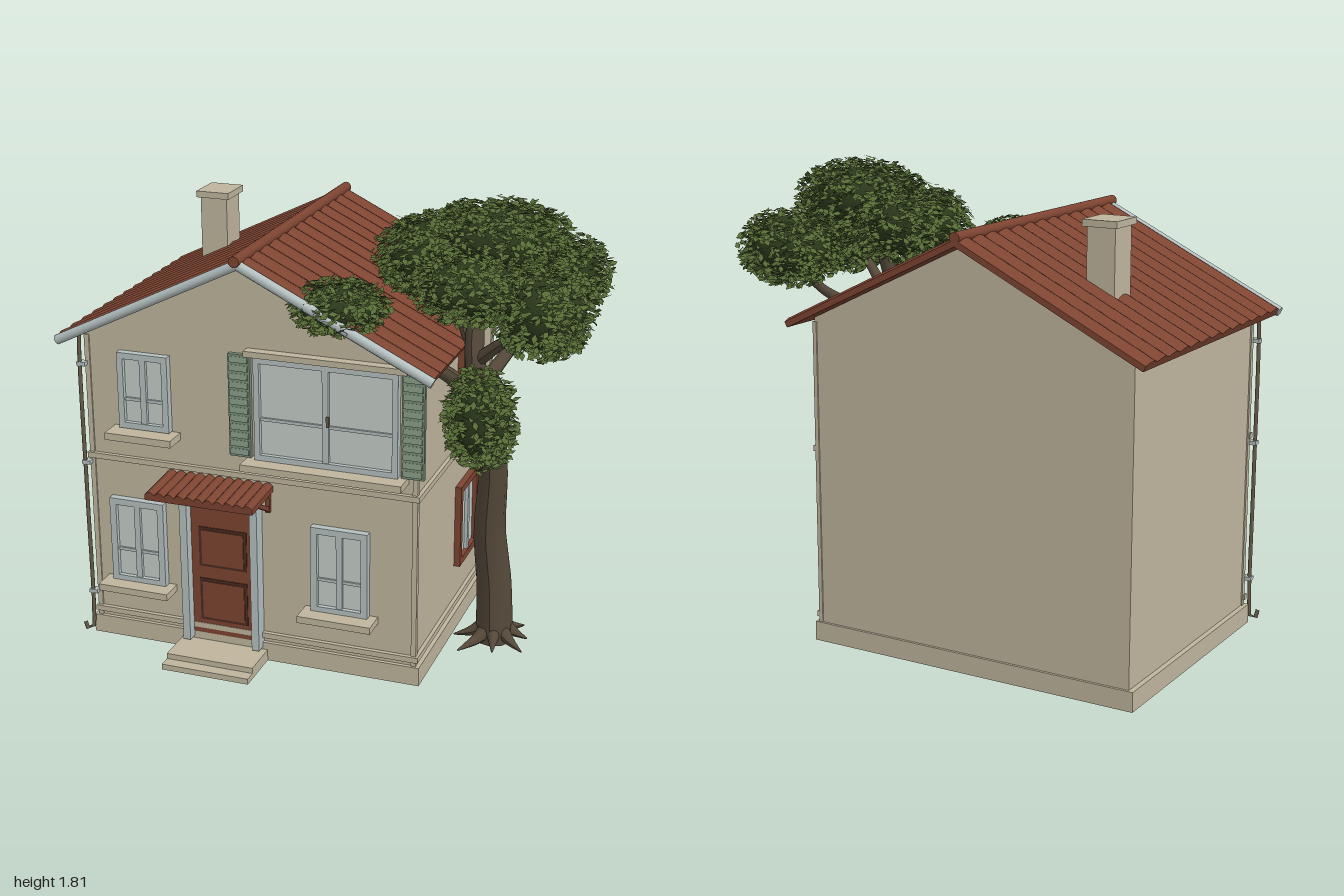
import * as THREE from 'three';

const mat = (name, color, side = THREE.FrontSide) => {
  const m = new THREE.MeshStandardMaterial({ color, side });
  m.name = name;
  return m;
};

export function createModel() {
  const model = new THREE.Group();
  model.name = 'houseWithTree';
  const plaster = mat('plaster', 0xbfb59d);
  const tile = mat('redBrownTile', 0x7d4431);
  const trim = mat('paleTrim', 0xb4bfbf);
  const glass = mat('glass', 0xc3cbc5);
  const green = mat('shutterGreen', 0x7b907a);
  const bark = mat('bark', 0x55493a, THREE.DoubleSide);
  const pipeBrown = mat('pipeBrown', 0x655b49);
  const leaf = mat('leaf', 0x566b35, THREE.DoubleSide);
  const leafDark = mat('leafShade', 0x2c3a1c);
  const groove = mat('darkGroove', 0x4a2a20);

  let seed = 7;
  const rnd = () => (seed = (seed * 16807) % 2147483647) / 2147483647;

  const add = (parent, name, geo, m) => {
    const mesh = new THREE.Mesh(geo, m);
    mesh.name = name;
    parent.add(mesh);
    return mesh;
  };
  const box = (parent, name, m, x0, x1, y0, y1, z0, z1) => {
    const b = add(parent, name, new THREE.BoxGeometry(x1 - x0, y1 - y0, z1 - z0), m);
    b.position.set((x0 + x1) / 2, (y0 + y1) / 2, (z0 + z1) / 2);
    return b;
  };
  const group = (name, x = 0, y = 0, z = 0) => {
    const g = new THREE.Group();
    g.name = name;
    g.position.set(x, y, z);
    model.add(g);
    return g;
  };

  // Walls with gables, and plinth
  const outline = new THREE.Shape([[-0.92, 0.09], [0.39, 0.09], [0.39, 1.285], [-0.265, 1.605], [-0.92, 1.285]]
    .map(p => new THREE.Vector2(...p)));
  add(model, 'walls', new THREE.ExtrudeGeometry(outline, { depth: 1, bevelEnabled: false }), plaster).position.z = -0.565;
  box(model, 'plinth', plaster, -0.94, 0.41, 0.025, 0.1, -0.575, 0.45);

  // Belt courses and corner strips on the front and right walls
  for (const [y0, y1] of [[0.12, 0.142], [0.775, 0.797]]) {
    box(model, 'frontBelt', plaster, -0.93, 0.405, y0, y1, 0.43, 0.452);
    box(model, 'sideBelt', plaster, 0.385, 0.405, y0, y1, -0.57, 0.44);
  }
  for (const x of [-0.915, 0.385]) box(model, 'cornerStrip', plaster, x - 0.01, x + 0.01, 0.1, 1.27, 0.42, 0.441);
  box(model, 'rearCornerStrip', plaster, 0.38, 0.396, 0.1, 1.27, -0.57, -0.545);

  // Ribbed tile sheet: width along x, ribs running along z
  const tileSheet = (width, length, ribs, thick) => {
    const pts = [new THREE.Vector2(width / 2, -thick), new THREE.Vector2(width / 2, 0)];
    for (let i = 1; i < ribs * 6; i++) {
      pts.push(new THREE.Vector2(width / 2 - width * i / (ribs * 6), 0.012 * Math.abs(Math.sin(Math.PI * i / 6))));
    }
    pts.push(new THREE.Vector2(-width / 2, 0), new THREE.Vector2(-width / 2, -thick));
    return new THREE.ExtrudeGeometry(new THREE.Shape(pts), { depth: length, bevelEnabled: false });
  };

  // Roof slopes, pale front rakes and ridge
  const slope = Math.atan2(0.36, 0.735), length = 0.815;
  const c = Math.cos(slope), s = Math.sin(slope);
  for (const side of [-1, 1]) {
    const roof = add(model, 'roofSlope', tileSheet(1.155, length, 13, 0.022), tile);
    roof.applyMatrix4(new THREE.Matrix4().makeBasis(
      new THREE.Vector3(0, 0, -side), new THREE.Vector3(side * s, c, 0), new THREE.Vector3(side * c, -s, 0)));
    roof.position.set(-0.265, 1.632, -0.0675);
    const rake = add(model, 'frontRake', new THREE.CylinderGeometry(0.019, 0.019, length, 10), trim);
    rake.position.set(-0.265 + side * c * length / 2, 1.622 - s * length / 2, 0.515);
    rake.rotation.z = side * (Math.PI / 2 - slope);
  }
  const ridge = add(model, 'ridge', new THREE.CylinderGeometry(0.021, 0.021, 1.185, 12), tile);
  ridge.rotation.x = Math.PI / 2;
  ridge.position.set(-0.265, 1.638, -0.0525);

  // Chimney
  box(model, 'chimney', plaster, -0.715, -0.605, 1.3, 1.67, -0.32, -0.195);
  box(model, 'chimneyCap', plaster, -0.728, -0.592, 1.665, 1.69, -0.335, -0.182);

  // Framed window facing +z, centred on its group
  const windowUnit = (g, w, h, t, m, bars) => {
    const x = w / 2, y = h / 2;
    for (const k of [-1, 1]) {
      box(g, 'frameSide', m, k * (x - t / 2) - t / 2, k * (x - t / 2) + t / 2, -y, y, 0, 0.03);
      box(g, 'frameRail', m, -x, x, k * (y - t / 2) - t / 2, k * (y - t / 2) + t / 2, 0, 0.03);
    }
    box(g, 'pane', glass, -x + t, x - t, -y + t, y - t, 0.004, 0.012);
    box(g, 'mullion', trim, -0.012, 0.012, -y + t, y - t, 0.008, 0.026);
    for (const by of bars) box(g, 'glazingBar', trim, -x + t, x - t, by - 0.006, by + 0.006, 0.008, 0.02);
  };
  const sill = (x0, x1, y0, y1) => box(model, 'sill', plaster, x0, x1, y0, y1, 0.43, 0.53);

  // Front windows
  for (const x of [-0.727, 0.098]) {
    windowUnit(group('lowerWindow', x, 0.45, 0.437), 0.225, 0.35, 0.026, trim, [-0.04]);
    sill(x - 0.145, x + 0.145, 0.253, 0.28);
  }
  windowUnit(group('upperWindow', -0.678, 1.073, 0.437), 0.205, 0.3, 0.024, trim, [-0.035]);
  sill(-0.813, -0.543, 0.892, 0.92);
  windowUnit(group('wideWindow', 0.047, 1.065, 0.437), 0.555, 0.4, 0.022, trim, [-0.04]);
  sill(-0.265, 0.358, 0.838, 0.865);
  box(model, 'lintel', plaster, -0.265, 0.358, 1.265, 1.288, 0.43, 0.475);
  box(model, 'windowHandle', pipeBrown, 0.052, 0.062, 1.03, 1.07, 0.46, 0.47);

  // Louvred shutters
  for (const x of [-0.292, 0.378]) {
    const g = group('shutter', x, 1.065, 0.437);
    box(g, 'shutterPanel', green, -0.043, 0.043, -0.2, 0.2, 0, 0.018);
    for (let i = 0; i < 12; i++) {
      const y = -0.18 + i * 0.0327;
      box(g, 'slat', green, -0.036, 0.036, y - 0.011, y + 0.011, 0.012, 0.026).rotation.x = -0.3;
    }
  }

  // Side windows
  for (const [y, h] of [[0.455, 0.34], [1.067, 0.345]]) {
    const g = group('sideWindow', 0.385, y, -0.198);
    g.rotation.y = Math.PI / 2;
    windowUnit(g, 0.255, h, 0.028, tile, []);
  }

  // Door with recessed-look panels, posts, lintel and steps
  box(model, 'door', tile, -0.515, -0.24, 0.1, 0.665, 0.43, 0.45);
  for (const [y0, y1] of [[0.16, 0.337], [0.388, 0.553]]) {
    box(model, 'panelGroove', groove, -0.474, -0.278, y0, y1, 0.446, 0.453);
    box(model, 'doorPanel', tile, -0.462, -0.29, y0 + 0.012, y1 - 0.012, 0.448, 0.457);
  }
  for (const x of [-0.521, -0.234]) box(model, 'doorPost', trim, x - 0.015, x + 0.015, 0.08, 0.7, 0.43, 0.49);
  box(model, 'doorLintel', trim, -0.536, -0.219, 0.665, 0.705, 0.43, 0.48);
  box(model, 'lowerStep', plaster, -0.555, -0.2, 0.025, 0.048, 0.44, 0.652);
  box(model, 'upperStep', plaster, -0.555, -0.2, 0.045, 0.07, 0.44, 0.605);

  // Tiled door canopy on diagonal brackets
  const canopy = add(model, 'canopy', tileSheet(0.43, 0.205, 11, 0.022), tile);
  canopy.position.set(-0.385, 0.757, 0.44);
  canopy.rotation.x = 0.06;
  for (const x of [-0.565, -0.19]) {
    box(model, 'bracketPost', tile, x - 0.009, x + 0.009, 0.65, 0.74, 0.435, 0.452);
    box(model, 'bracketBrace', tile, x - 0.008, x + 0.008, 0.685, 0.702, 0.435, 0.57).rotation.x = -0.5;
  }

  // Downpipe with clips
  const v = (x, y, z) => new THREE.Vector3(x, y, z);
  const pipe = new THREE.CatmullRomCurve3([v(-0.935, 1.285, 0.455), v(-0.94, 1.2, 0.455), v(-0.94, 0.6, 0.455),
    v(-0.94, 0.12, 0.455), v(-0.945, 0.045, 0.46), v(-0.96, 0.04, 0.47), v(-0.97, 0.075, 0.475)]);
  add(model, 'downpipe', new THREE.TubeGeometry(pipe, 40, 0.008, 8), pipeBrown);
  for (const y of [0.2, 0.75, 1.15]) box(model, 'pipeClip', trim, -0.95, -0.915, y, y + 0.015, 0.435, 0.465);

  // Tapered limb through points, with a radius for each end
  const limb = (name, r0, r1, pts, power = 1) => {
    const curve = new THREE.CatmullRomCurve3(pts.map(p => v(...p)));
    const n = 18, geo = new THREE.TubeGeometry(curve, n, 1, 10), pos = geo.attributes.position, p = v(0, 0, 0);
    for (let i = 0; i < pos.count; i++) {
      const t = Math.floor(i / 11) / n, o = curve.getPointAt(t);
      p.fromBufferAttribute(pos, i).sub(o).multiplyScalar(r0 + (r1 - r0) * t ** power).add(o);
      pos.setXYZ(i, p.x, p.y, p.z);
    }
    geo.computeVertexNormals();
    add(model, name, geo, bark);
  };
  limb('trunk', 0.073, 0.022, [[0.57, 0.01, -0.045], [0.565, 0.25, -0.04], [0.548, 0.5, -0.01], [0.565, 0.75, 0.025],
    [0.56, 0.95, 0.055], [0.51, 1.2, 0.12], [0.5, 1.4, 0.08], [0.55, 1.62, 0.0]], 1.3);
  limb('branch', 0.04, 0.012, [[0.56, 0.88, 0.04], [0.6, 0.93, 0.16], [0.65, 1.02, 0.32], [0.66, 1.15, 0.46]]);
  limb('branch', 0.04, 0.014, [[0.55, 0.98, 0.06], [0.46, 1.18, 0.22], [0.32, 1.31, 0.36], [0.12, 1.41, 0.45]]);
  limb('branch', 0.03, 0.012, [[0.53, 1.12, 0.1], [0.58, 1.2, 0.0], [0.66, 1.32, -0.17], [0.72, 1.45, -0.25]]);
  limb('branch', 0.028, 0.012, [[0.51, 1.22, 0.11], [0.62, 1.32, 0.17], [0.78, 1.45, 0.24]]);
  limb('branch', 0.028, 0.012, [[0.51, 1.22, 0.11], [0.43, 1.37, 0.06], [0.3, 1.5, 0.0]]);
  for (let i = 0; i < 8; i++) {
    const a = i * Math.PI / 4 + 0.2, r = 0.13 + 0.03 * (i % 3), x = Math.cos(a), z = -Math.sin(a);
    limb('root', 0.036, 0.003, [[0.57 + 0.03 * x, 0.07, -0.045 + 0.03 * z],
      [0.57 + 0.09 * x, 0.036, -0.045 + 0.09 * z], [0.57 + r * x, 0.015, -0.045 + r * z]]);
  }

  // Foliage: clumps of small diamond leaves around a shaded core
  const foliage = (cx, cy, cz, rx, ry, rz, count) => {
    const corners = [], index = [];
    for (let i = 0; i < count; i++) {
      const d = v(rnd() - 0.5, rnd() - 0.5, rnd() - 0.5).normalize();
      const o = d.clone().multiplyScalar(0.72 + 0.28 * rnd()).multiply(v(rx, ry, rz)).add(v(cx, cy, cz));
      const n = v(rnd() - 0.5, 0.65, rnd() - 0.5).addScaledVector(d, 0.2).normalize();
      const a = v(rnd() - 0.5, rnd() - 0.5, rnd() - 0.5).cross(n).setLength(0.021);
      const b = n.clone().cross(a).multiplyScalar(0.55);
      for (const q of [o.clone().add(a), o.clone().add(b), o.clone().sub(a), o.clone().sub(b)]) corners.push(q);
      index.push(4 * i, 4 * i + 1, 4 * i + 2, 4 * i, 4 * i + 2, 4 * i + 3);
    }
    const geo = new THREE.BufferGeometry().setFromPoints(corners);
    geo.setIndex(index);
    geo.computeVertexNormals();
    add(model, 'leaves', geo, leaf);
    const core = add(model, 'foliageCore', new THREE.IcosahedronGeometry(1, 2), leafDark);
    core.scale.set(rx * 0.76, ry * 0.76, rz * 0.76);
    core.position.set(cx, cy, cz);
  };
  foliage(0.56, 1.65, 0.0, 0.29, 0.165, 0.21, 2400);
  foliage(0.31, 1.57, -0.02, 0.24, 0.165, 0.22, 2000);
  foliage(0.72, 1.48, -0.25, 0.22, 0.16, 0.2, 1700);
  foliage(0.79, 1.48, 0.24, 0.19, 0.18, 0.2, 1700);
  foliage(0.52, 1.53, 0.23, 0.24, 0.13, 0.18, 1500);
  foliage(0.08, 1.47, 0.4, 0.19, 0.1, 0.17, 1200);
  foliage(0.63, 1.14, 0.48, 0.14, 0.2, 0.1, 1200);

  return model;
}
